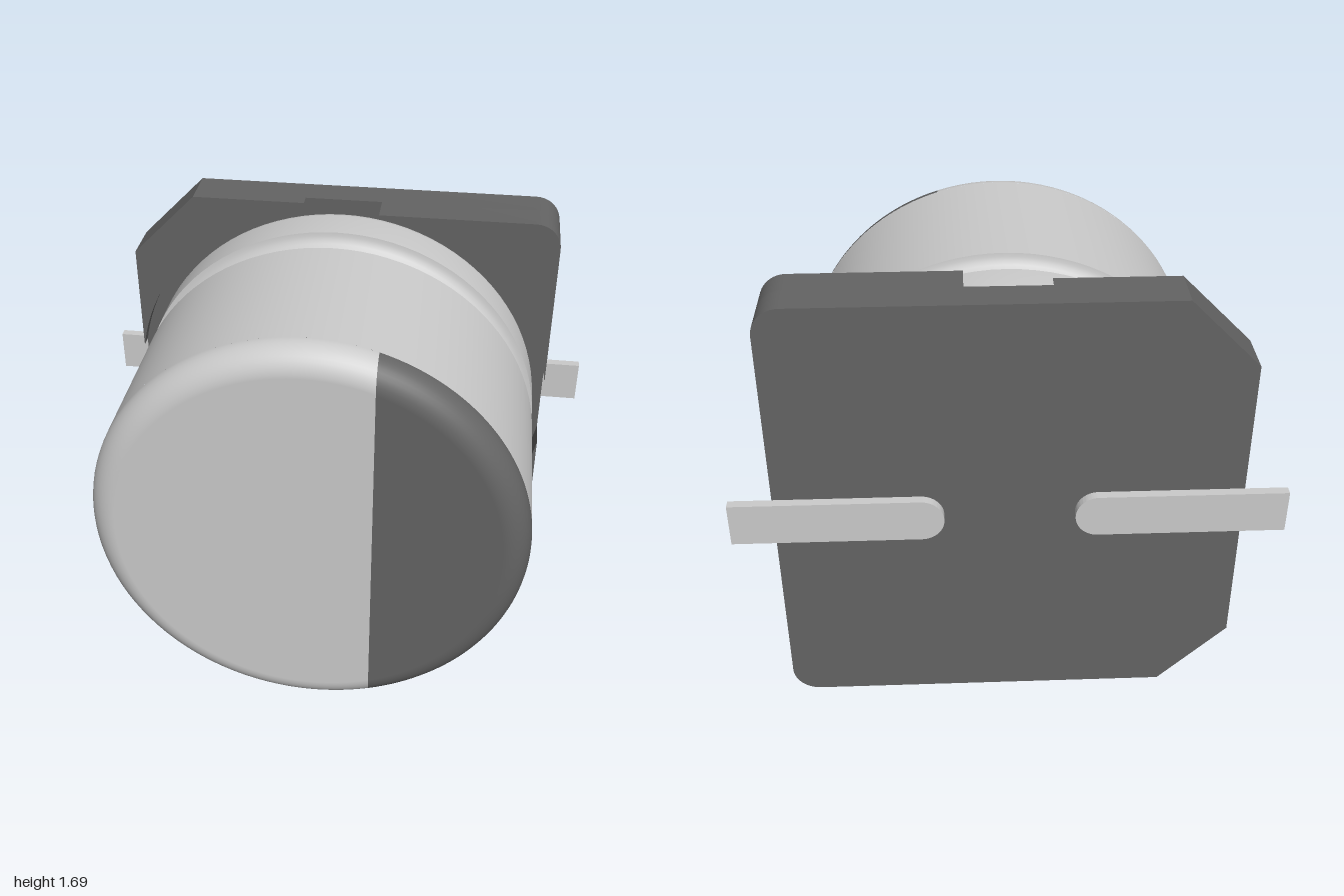
import * as THREE from 'three';
import { toCreasedNormals } from 'three/addons/utils/BufferGeometryUtils.js';
import { ParametricGeometry } from 'three/addons/geometries/ParametricGeometry.js';

const CY = 0.845;            // height of the can axis
const R = 0.805;             // can radius
const FRONT = 0.625, FILLET = 0.1;
const FLOOR = -0.46, BACK = -0.59;
const HALF = 0.845;          // half width of the base
const NOTCH = 0.15;          // half width of the side openings
const MARK_X = 0.24;         // straight edge of the polarity mark

const metal = new THREE.MeshStandardMaterial({ color: 0xcccccc });
const dark = new THREE.MeshStandardMaterial({ color: 0x646464 });

function add(group, name, geometry, material) {
  const mesh = new THREE.Mesh(geometry, material);
  mesh.name = name;
  group.add(mesh);
  return mesh;
}

function slab(shape, z0, z1) {
  const g = new THREE.ExtrudeGeometry(shape, { depth: z1 - z0, bevelEnabled: false, curveSegments: 40 });
  g.translate(0, 0, z0);
  return toCreasedNormals(g, 0.6);
}

// Outer corner of the base in the positive quadrant: rounded or chamfered
function cornerPoints(rounded) {
  if (!rounded) return [[HALF, 0.59], [0.59, HALF]];
  const r = 0.1, pts = [];
  for (let i = 0; i <= 10; i++) {
    const a = (i / 10) * Math.PI / 2;
    pts.push([HALF - r + r * Math.cos(a), HALF - r + r * Math.sin(a)]);
  }
  return pts;
}

const toShape = (pts) => new THREE.Shape(pts.map(([x, y]) => new THREE.Vector2(x, y)));

function buildBase() {
  const base = new THREE.Group();
  base.name = 'base';
  // Plate with two rounded and two chamfered corners
  const right = cornerPoints(true), left = cornerPoints(false);
  const flip = (pts, sx, sy) => pts.map(([x, y]) => [x * sx, y * sy]);
  add(base, 'basePlate', slab(toShape([
    ...right,
    ...flip(left, -1, 1).reverse(),
    ...flip(left, -1, -1),
    ...flip(right, 1, -1).reverse(),
  ]), BACK, FLOOR), dark);

  // Four raised corners around the round seat, taller on the rounded side
  const seatR = Math.hypot(HALF, NOTCH), a0 = Math.atan2(NOTCH, HALF);
  for (const sx of [1, -1]) for (const sy of [1, -1]) {
    const pts = [[HALF, NOTCH], ...cornerPoints(sx > 0), [NOTCH, HALF]];
    for (let i = 1; i < 32; i++) {
      const a = Math.PI / 2 - a0 - (i / 32) * (Math.PI / 2 - 2 * a0);
      pts.push([seatR * Math.cos(a), seatR * Math.sin(a)]);
    }
    add(base, 'baseCorner', slab(toShape(flip(pts, sx, sy)), FLOOR, sx > 0 ? -0.34 : -0.41), dark);
  }
  return base;
}

function buildCan() {
  const can = new THREE.Group();
  can.name = 'can';
  // Side wall: rear rounding, crimp groove, straight wall
  const profile = [new THREE.Vector2(0, FLOOR)];
  const rr = 0.06;
  for (let i = 0; i <= 6; i++) {
    const a = (i / 6) * Math.PI / 2;
    profile.push(new THREE.Vector2(R - rr + rr * Math.sin(a), FLOOR + rr - rr * Math.cos(a)));
  }
  for (let i = 0; i <= 14; i++) {
    const a = (i / 14) * Math.PI, g = 0.065;
    profile.push(new THREE.Vector2(R - g * Math.sin(a), -0.188 - g * Math.cos(a)));
  }
  profile.push(new THREE.Vector2(R, FRONT - FILLET));
  const wall = new THREE.LatheGeometry(profile, 96);
  wall.rotateX(Math.PI / 2);
  add(can, 'canWall', toCreasedNormals(wall, 0.6), metal);

  // Front face and its rounded rim, divided by the straight edge of the mark
  const flatR = R - FILLET;
  const edge = (r) => Math.acos(MARK_X / r);
  const range = (r, marked) => marked ? [-edge(r), edge(r)] : [edge(r), 2 * Math.PI - edge(r)];
  for (const marked of [false, true]) {
    const name = marked ? 'polarityMark' : 'canFront', material = marked ? dark : metal;
    const face = new THREE.Shape().absarc(0, 0, flatR, ...range(flatR, marked), false);
    add(can, name, new THREE.ShapeGeometry(face, 64), material).position.z = FRONT;
    const rim = new ParametricGeometry((u, v, p) => {
      const f = v * Math.PI / 2;
      const r = flatR + FILLET * Math.cos(f);
      const [a, b] = range(r, marked);
      const t = a + (b - a) * u;
      p.set(r * Math.cos(t), r * Math.sin(t), FRONT - FILLET + FILLET * Math.sin(f));
    }, 64, 10);
    add(can, name + 'Rim', rim, material);
  }
  return can;
}

// Flat lead with a rounded inner end
function buildLead(side) {
  const w = 0.083, s = new THREE.Shape();
  s.moveTo(1, w);
  s.lineTo(0.235 + w, w);
  s.absarc(0.235 + w, 0, w, Math.PI / 2, Math.PI * 1.5, false);
  s.lineTo(1, -w);
  const lead = new THREE.Mesh(slab(s, -0.625, BACK), metal);
  lead.name = side > 0 ? 'leftLead' : 'rightLead';
  if (side < 0) lead.rotation.z = Math.PI;
  return lead;
}

export function createModel() {
  const model = new THREE.Group();
  model.name = 'surfaceMountCapacitor';
  const body = new THREE.Group();
  body.name = 'body';
  body.position.y = CY;
  body.add(buildBase(), buildCan(), buildLead(1), buildLead(-1));
  model.add(body);
  return model;
}
